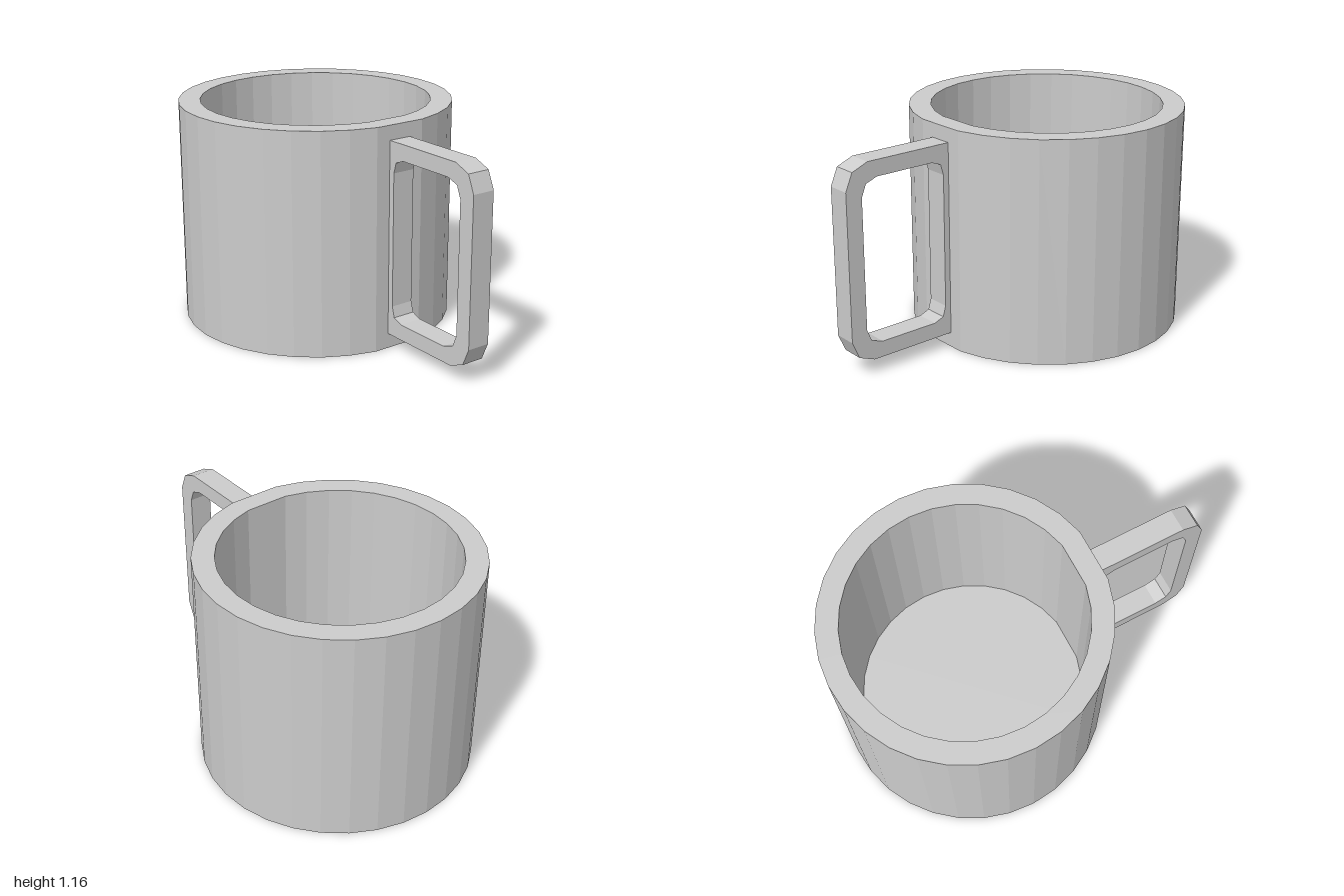
import * as THREE from 'three';

const SIDES = 32, RADIUS = 0.709, INNER = 0.597, HEIGHT = 1.157, FLOOR = 0.11, CENTRE_X = -0.291;

const points = (list) => list.map(([x, y]) => new THREE.Vector2(x, y));

export function createModel() {
  const group = new THREE.Group();
  group.name = 'mug';
  const material = new THREE.MeshStandardMaterial({ color: 0xcccccc, flatShading: true });

  // Cup: closed profile with outer wall, rim, inner wall and floor
  const cup = new THREE.LatheGeometry(points([
    [0, 0], [RADIUS, 0], [RADIUS, HEIGHT], [INNER, HEIGHT], [INNER, FLOOR], [0, FLOOR],
  ]), SIDES);
  // Flatten the column of vertices behind the handle so it meets a flat panel
  const pos = cup.attributes.position;
  const flatten = Math.cos((2 * Math.PI) / SIDES);
  for (let i = 0; i < pos.count; i++) {
    if (pos.getX(i) > 0.1 && Math.abs(pos.getZ(i)) < 1e-4) pos.setX(i, pos.getX(i) * flatten);
  }
  cup.computeVertexNormals();
  const cupMesh = new THREE.Mesh(cup, material);
  cupMesh.name = 'cup';
  cupMesh.position.x = CENTRE_X;
  group.add(cupMesh);

  // Handle: bevel-cornered frame with its opening, symmetric about mid height.
  // Outlines run counter-clockwise, from the lower half up to the upper half.
  const mid = 0.58;
  const mirrorY = (half) => points([
    ...half.map(([x, y]) => [x, mid - y]),
    ...half.slice().reverse().map(([x, y]) => [x, mid + y]),
  ]);
  const shape = new THREE.Shape(mirrorY([[0.4, 0.502], [0.875, 0.502], [0.962, 0.467], [1, 0.378]]));
  shape.holes.push(new THREE.Path(mirrorY([
    [0.436, 0.345], [0.452, 0.4], [0.505, 0.42], [0.825, 0.42], [0.888, 0.397], [0.913, 0.335],
  ])));
  const thickness = 0.122;
  const handle = new THREE.ExtrudeGeometry(shape, { depth: thickness, bevelEnabled: false });
  handle.translate(0, 0, -thickness / 2);
  const handleMesh = new THREE.Mesh(handle, material);
  handleMesh.name = 'handle';
  group.add(handleMesh);

  return group;
}
